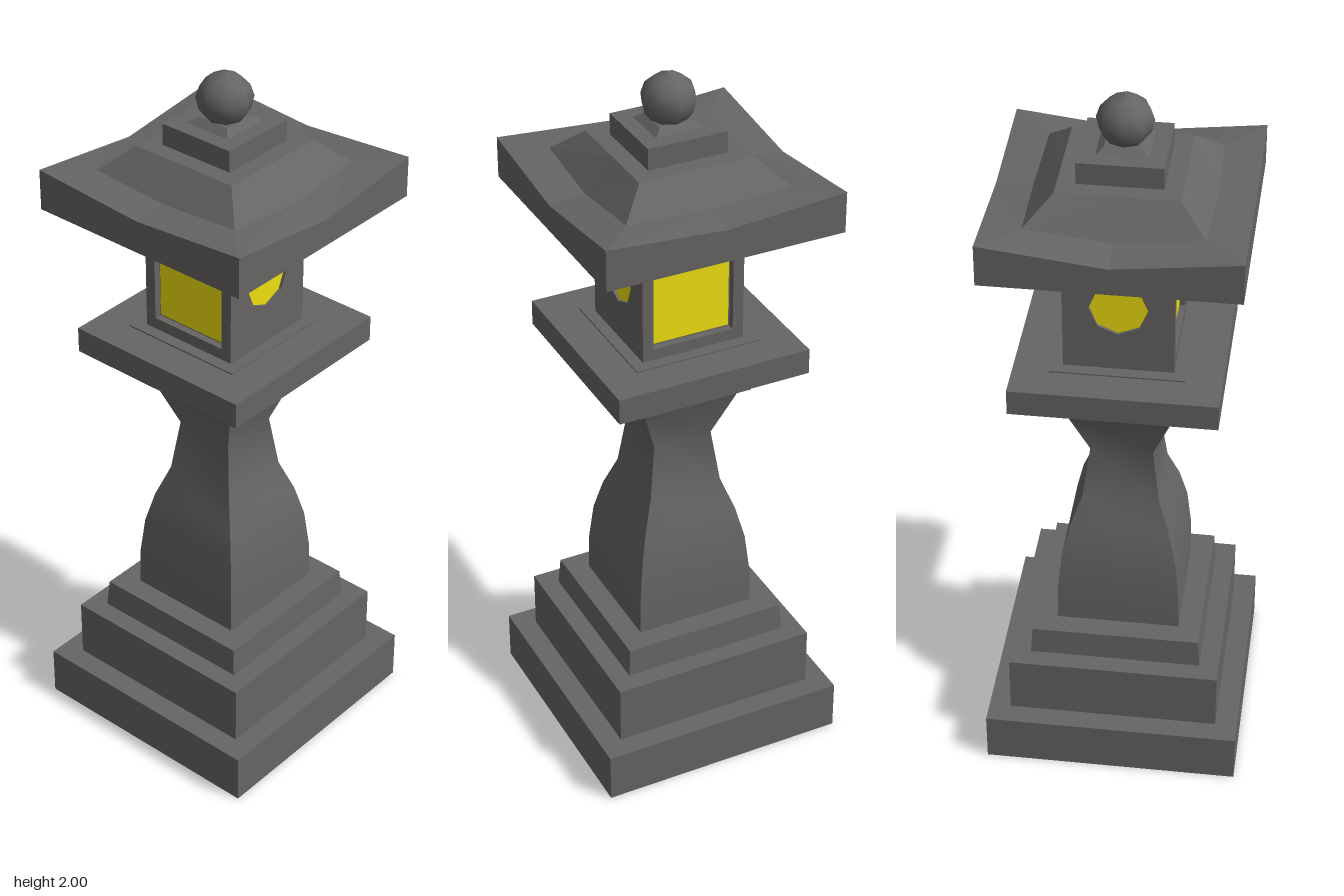
import * as THREE from 'three';
import { toCreasedNormals } from 'three/addons/utils/BufferGeometryUtils.js';

const stone = new THREE.MeshStandardMaterial({ color: 0x676563, flatShading: true });
const stoneSmooth = new THREE.MeshStandardMaterial({ color: 0x676563 });
const glow = new THREE.MeshStandardMaterial({ color: 0xf0e010 });

function add(parent, name, geometry, material = stone) {
  const mesh = new THREE.Mesh(geometry, material);
  mesh.name = name;
  parent.add(mesh);
  return mesh;
}

// Capped square solid from [half width, height] pairs, bottom to top
function squareLoft(profile) {
  const pts = profile.map(([h, y]) => new THREE.Vector2(h * Math.SQRT2, y));
  pts.unshift(new THREE.Vector2(0, profile[0][1]));
  pts.push(new THREE.Vector2(0, profile[profile.length - 1][1]));
  return new THREE.LatheGeometry(pts, 4, Math.PI / 4);
}

// Roof loft: each ring has four corners and four edge middles of its own height
function roofGeometry() {
  // [corner half width, corner y, middle half width, front/back middle y, side middle y]
  const rings = [
    [0, 1.625, 0, 1.625, 1.625],
    [0.335, 1.625, 0.335, 1.625, 1.625],
    [0.335, 1.74, 0.335, 1.715, 1.7],
    [0.231, 1.733, 0.237, 1.722, 1.712],
    [0.16, 1.8, 0.16, 1.8, 1.8],
    [0, 1.8, 0, 1.8, 1.8],
  ];
  const positions = [];
  const index = [];
  rings.forEach(([ch, cy, mh, fy, sy], j) => {
    for (let i = 0; i < 8; i++) {
      const a = (i * Math.PI) / 4;
      const corner = i % 2 === 1;
      const r = corner ? ch * Math.SQRT2 : mh;
      positions.push(r * Math.sin(a), corner ? cy : i % 4 === 0 ? fy : sy, r * Math.cos(a));
      if (j < rings.length - 1) {
        const p = j * 8 + i;
        const q = j * 8 + ((i + 1) % 8);
        index.push(p, q, q + 8, p, q + 8, p + 8);
      }
    }
  });
  const g = new THREE.BufferGeometry();
  g.setAttribute('position', new THREE.Float32BufferAttribute(positions, 3));
  g.setIndex(index);
  g.computeVertexNormals();
  return g;
}

// Wall plate with an opening, centred on the wall's own middle
const WALL_H = 0.365;
const WALL_Y = 1.26 + WALL_H / 2;
function wallGeometry(halfWidth, holePoints, depth) {
  const h = WALL_H / 2;
  const shape = new THREE.Shape([
    new THREE.Vector2(-halfWidth, -h), new THREE.Vector2(halfWidth, -h),
    new THREE.Vector2(halfWidth, h), new THREE.Vector2(-halfWidth, h),
  ]);
  shape.holes.push(new THREE.Path(holePoints));
  return new THREE.ExtrudeGeometry(shape, { depth, bevelEnabled: false });
}

export function createModel() {
  const model = new THREE.Group();
  model.name = 'stoneLantern';

  // Stepped base
  add(model, 'baseLower', squareLoft([[0.355, 0], [0.355, 0.143]]));
  add(model, 'baseMiddle', squareLoft([[0.294, 0.143], [0.294, 0.313]]));
  add(model, 'baseUpper', squareLoft([[0.24, 0.313], [0.234, 0.393]]));

  // Waisted column, smooth along its height with sharp corners
  const column = squareLoft([
    [0.172, 0.393], [0.17, 0.5], [0.159, 0.61], [0.138, 0.7],
    [0.106, 0.79], [0.086, 0.94], [0.145, 1.1],
  ]);
  add(model, 'column', toCreasedNormals(column, 0.6), stoneSmooth);

  // Platform under the light box
  add(model, 'platformNeck', squareLoft([[0.165, 1.1], [0.165, 1.145]]));
  add(model, 'platform', squareLoft([[0.17, 1.142], [0.277, 1.185], [0.277, 1.258]]));
  add(model, 'platformPlate', squareLoft([[0.18, 1.256], [0.18, 1.262]]));

  // Light box: solid core, four pierced walls and glowing panes
  const box = new THREE.Group();
  box.name = 'lightBox';
  box.position.y = WALL_Y;
  model.add(box);
  const half = 0.147;
  const depth = 0.02;
  const coreSize = 2 * (half - depth);
  add(box, 'core', new THREE.BoxGeometry(coreSize, WALL_H, coreSize));

  const rectHole = [[-0.116, -0.148], [-0.116, 0.148], [0.116, 0.148], [0.116, -0.148]]
    .map(([x, y]) => new THREE.Vector2(x, y));
  const roundHole = [];
  for (let i = 0; i < 8; i++) {
    const a = (-i * Math.PI) / 4;
    roundHole.push(new THREE.Vector2(0.078 * Math.cos(a), 0.078 * Math.sin(a) + 0.007));
  }
  for (let k = 0; k < 4; k++) {
    const side = new THREE.Group();
    const isWindow = k % 2 === 0;
    side.name = isWindow ? 'windowWall' : 'roundWall';
    side.rotation.y = (k * Math.PI) / 2;
    box.add(side);
    const width = isWindow ? half : half - depth;
    const wall = add(side, 'wall', wallGeometry(width, isWindow ? rectHole : roundHole, depth));
    wall.position.z = half - depth;
    if (isWindow) {
      const pane = add(side, 'windowPane', new THREE.BoxGeometry(0.22, 0.282, 0.006), glow);
      pane.position.z = half - depth + 0.002;
    } else {
      const pane = add(side, 'roundPane', new THREE.CircleGeometry(0.078, 8), glow);
      pane.position.set(0, 0.007, half - 0.008);
    }
  }

  // Roof with upswept corners, cap and finial
  add(model, 'roof', roofGeometry());
  add(model, 'roofCap', squareLoft([[0.112, 1.8], [0.112, 1.86]]));
  add(model, 'finialFoot', squareLoft([[0.068, 1.86], [0.048, 1.876]]));
  const finial = [
    [0, 1.866], [0.046, 1.871], [0.067, 1.898], [0.075, 1.932],
    [0.064, 1.964], [0.036, 1.988], [0, 2],
  ].map(([r, y]) => new THREE.Vector2(r, y));
  add(model, 'finial', new THREE.LatheGeometry(finial, 8), stoneSmooth);

  return model;
}
